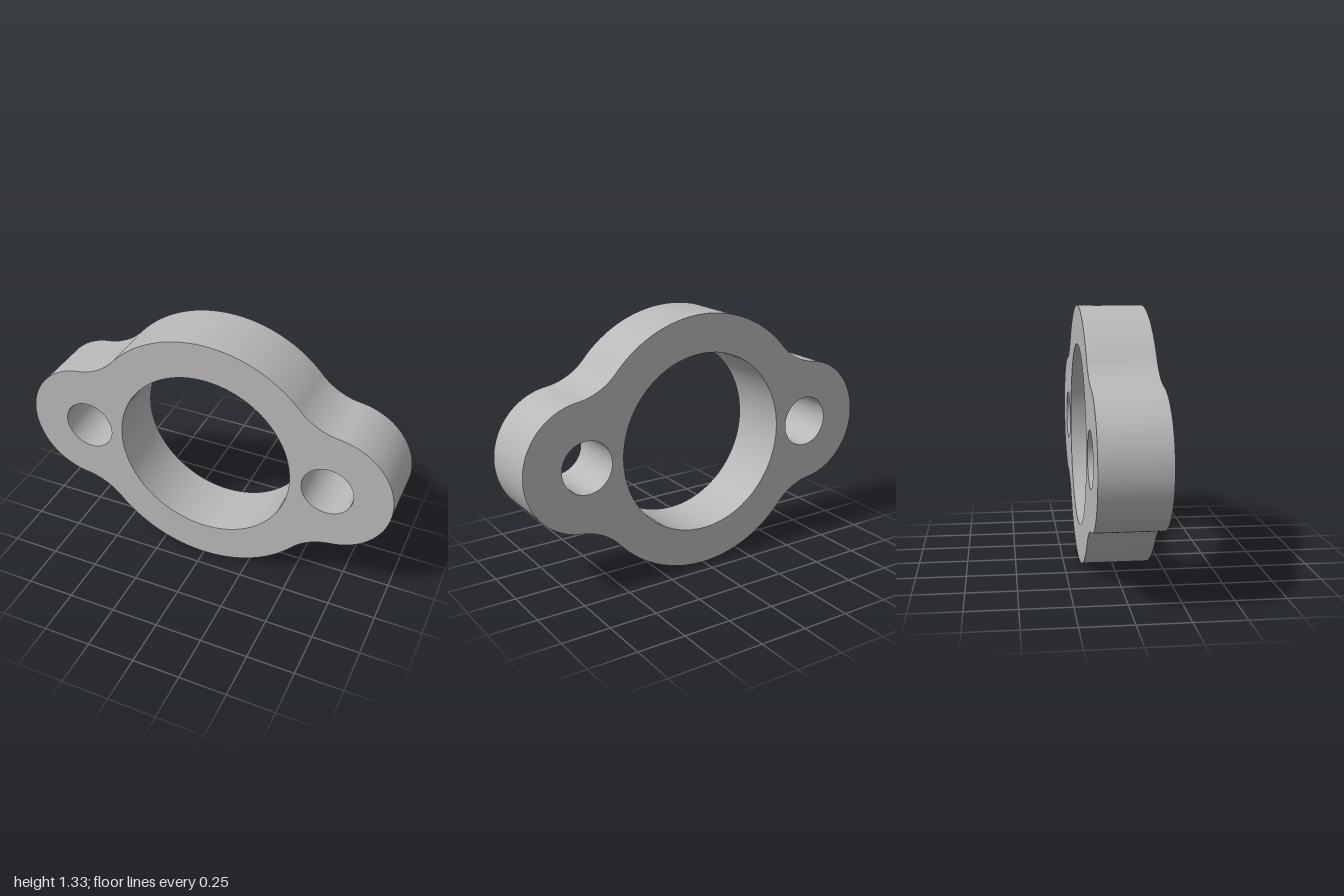
import * as THREE from 'three';
import { toCreasedNormals } from 'three/addons/utils/BufferGeometryUtils.js';

export function createModel() {
  const R = 2 / 3;        // centre ring radius, also the offset of the ears
  const r = 1 / 3;        // ear radius, also the blend radius
  const bore = 0.47, boltHole = 0.135, depth = 0.33;

  // Blend arcs touch both the ring and an ear
  const a = Math.acos(0.75);
  const cx = (R + r) * Math.cos(a), cy = (R + r) * Math.sin(a);
  const e = Math.atan2(cy, cx - R);
  const P = Math.PI;

  // Outline, counter-clockwise from the lower side of the left ear
  const outline = new THREE.Shape();
  outline.absarc(R, 0, r, -e, e, false);
  outline.absarc(cx, cy, r, P + e, P + a, true);
  outline.absarc(0, 0, R, a, P - a, false);
  outline.absarc(-cx, cy, r, -a, -e, true);
  outline.absarc(-R, 0, r, P - e, P + e, false);
  outline.absarc(-cx, -cy, r, e, a, true);
  outline.absarc(0, 0, R, P + a, 2 * P - a, false);
  outline.absarc(cx, -cy, r, P - a, P - e, true);

  // Central bore and the two bolt holes
  for (const [x, radius] of [[0, bore], [R, boltHole], [-R, boltHole]]) {
    outline.holes.push(new THREE.Path().absarc(x, 0, radius, 0, 2 * P, true));
  }

  const extruded = new THREE.ExtrudeGeometry(outline, { depth, bevelEnabled: false, curveSegments: 40 });
  extruded.translate(0, R, -depth / 2);

  const greyMetal = new THREE.MeshStandardMaterial({ color: 0xb8b8b8 });
  greyMetal.name = 'greyMetal';
  const flange = new THREE.Mesh(toCreasedNormals(extruded, P / 6), greyMetal);
  flange.name = 'flangePlate';

  const group = new THREE.Group();
  group.name = 'twoBoltFlange';
  group.add(flange);
  return group;
}
